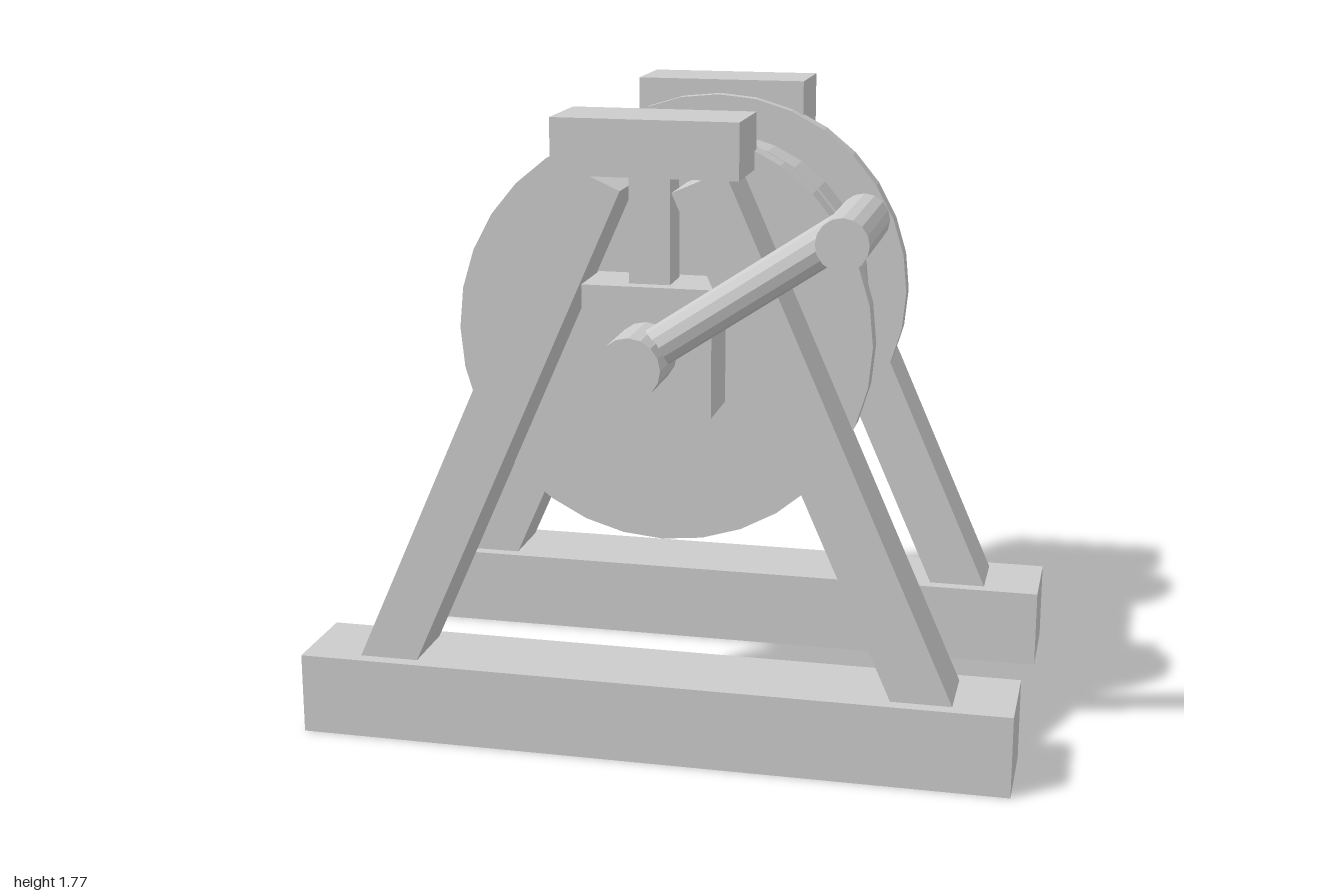
import * as THREE from 'three';

export function createModel() {
  const model = new THREE.Group();
  model.name = 'windingDrum';
  const grey = new THREE.MeshStandardMaterial({ color: 0xcccccc });
  grey.name = 'plain grey';
  grey.flatShading = true;

  const AXIS_Y = 1.155;
  const MID_Z = -0.155;

  function add(parent, name, geometry, x, y, z) {
    const mesh = new THREE.Mesh(geometry, grey);
    mesh.name = name;
    mesh.position.set(x, y, z);
    parent.add(mesh);
    return mesh;
  }
  const box = (parent, name, w, h, d, x, y, z) =>
    add(parent, name, new THREE.BoxGeometry(w, h, d), x, y, z);

  // cylinder lying along z between two depths
  function roller(parent, name, r, z0, z1, sides, x = 0, y = AXIS_Y) {
    const g = new THREE.CylinderGeometry(r, r, Math.abs(z1 - z0), sides).rotateX(Math.PI / 2);
    return add(parent, name, g, x, y, (z0 + z1) / 2);
  }

  // two A-shaped end frames
  for (const side of [1, -1]) {
    const frame = new THREE.Group();
    frame.name = side > 0 ? 'frontFrame' : 'backFrame';
    frame.position.z = MID_Z + side * 0.483;
    model.add(frame);

    box(frame, 'baseBeam', 2, 0.23, 0.267, 0, 0.115, 0);
    box(frame, 'capBlock', 0.5, 0.15, 0.23, 0, 1.695, 0);
    box(frame, 'bearingBlock', 0.35, 0.345, 0.19, 0, 1.158, 0);
    box(frame, 'hangerPost', 0.11, 0.32, 0.11, 0, 1.47, 0);

    // slanted legs, sunk into the base beam
    const foot = new THREE.Vector2(0.8, 0.12);
    const head = new THREE.Vector2(0.138, 1.612);
    const run = head.clone().sub(foot);
    for (const s of [1, -1]) {
      const leg = box(frame, s > 0 ? 'leftLeg' : 'rightLeg', 0.152, run.length(), 0.192,
        s * (foot.x + head.x) / 2, (foot.y + head.y) / 2, 0);
      leg.rotation.z = s * Math.atan2(-run.x, run.y);
    }
  }

  // drum with flanges and raised bands
  const drum = new THREE.Group();
  drum.name = 'drum';
  model.add(drum);
  roller(drum, 'drumCore', 0.405, 0.2, -0.51, 32);
  roller(drum, 'frontFlange', 0.575, 0.24, 0.175, 32);
  roller(drum, 'backFlange', 0.575, -0.485, -0.545, 32);
  for (let i = 0; i < 4; i++) {
    const z = 0.073 - i * 0.154;
    roller(drum, 'band' + (i + 1), 0.468, z + 0.063, z - 0.063, 32);
  }

  // axle and hand crank
  roller(model, 'axle', 0.083, 0.615, -0.85, 16);
  const a = new THREE.Vector3(0.05, 1.192, 0.507);
  const b = new THREE.Vector3(0.577, 1.543, 0.507);
  const dir = b.clone().sub(a);
  const arm = add(model, 'crankArm', new THREE.CylinderGeometry(0.053, 0.053, dir.length(), 12),
    (a.x + b.x) / 2, (a.y + b.y) / 2, a.z);
  arm.quaternion.setFromUnitVectors(new THREE.Vector3(0, 1, 0), dir.normalize());
  roller(model, 'crankHandle', 0.065, 0.48, 0.847, 16, b.x, b.y);

  return model;
}
